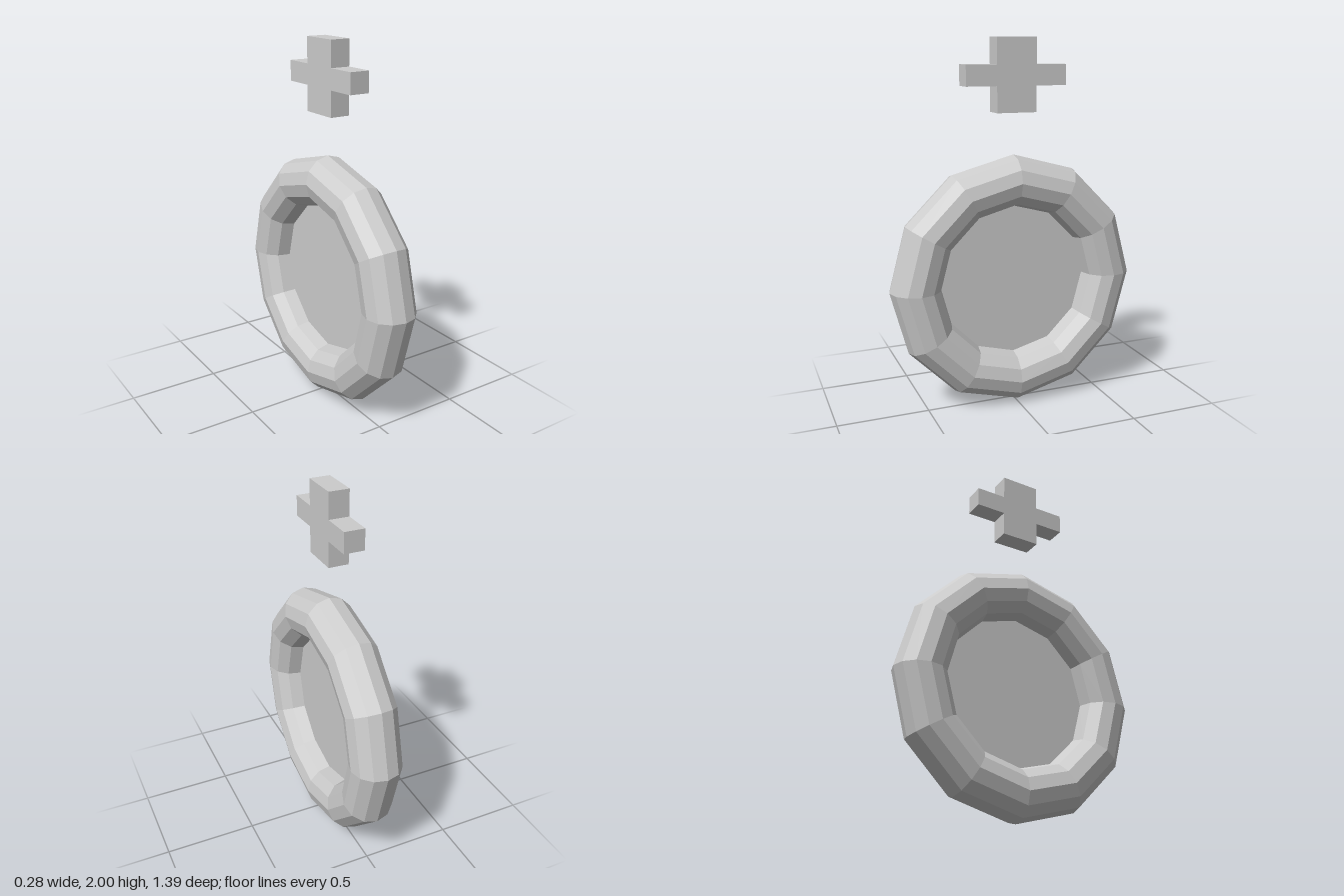
import * as THREE from 'three';

export function createModel() {
  const group = new THREE.Group();
  const material = new THREE.MeshStandardMaterial({ color: 0xcccccc, flatShading: true });
  const thin = new THREE.MeshStandardMaterial({ color: 0xcccccc, flatShading: true, side: THREE.DoubleSide });

  const add = (name, geometry, y, mat = material) => {
    const mesh = new THREE.Mesh(geometry, mat);
    mesh.name = name;
    mesh.position.y = y;
    group.add(mesh);
  };

  const ringY = 0.695, ringRadius = 0.556, tubeRadius = 0.139;

  // Upright faceted ring, its axis along x
  add('ring', new THREE.TorusGeometry(ringRadius, tubeRadius, 12, 12).rotateY(Math.PI / 2), ringY);

  // Thin panel filling the hole, its rim tucked into the tube
  add('panel', new THREE.CircleGeometry(ringRadius - tubeRadius + 0.01, 12).rotateY(Math.PI / 2), ringY, thin);

  // Plus-shaped block floating above the ring: one quarter's corners, turned through four signs
  const longZ = 0.278, armZ = 0.11, longY = 0.193, armY = 0.055, depth = 0.11;
  const quarter = [[longZ, armY], [armZ, armY], [armZ, longY]];
  const outline = [];
  for (const [sx, sy] of [[1, 1], [-1, 1], [-1, -1], [1, -1]]) {
    const corners = sx * sy > 0 ? quarter : [...quarter].reverse();
    for (const [x, y] of corners) outline.push(new THREE.Vector2(sx * x, sy * y));
  }
  const plus = new THREE.ExtrudeGeometry(new THREE.Shape(outline), { depth, bevelEnabled: false });
  plus.translate(0, 0, -depth / 2).rotateY(Math.PI / 2);
  add('floatingPlus', plus, 2 - longY);

  return group;
}
